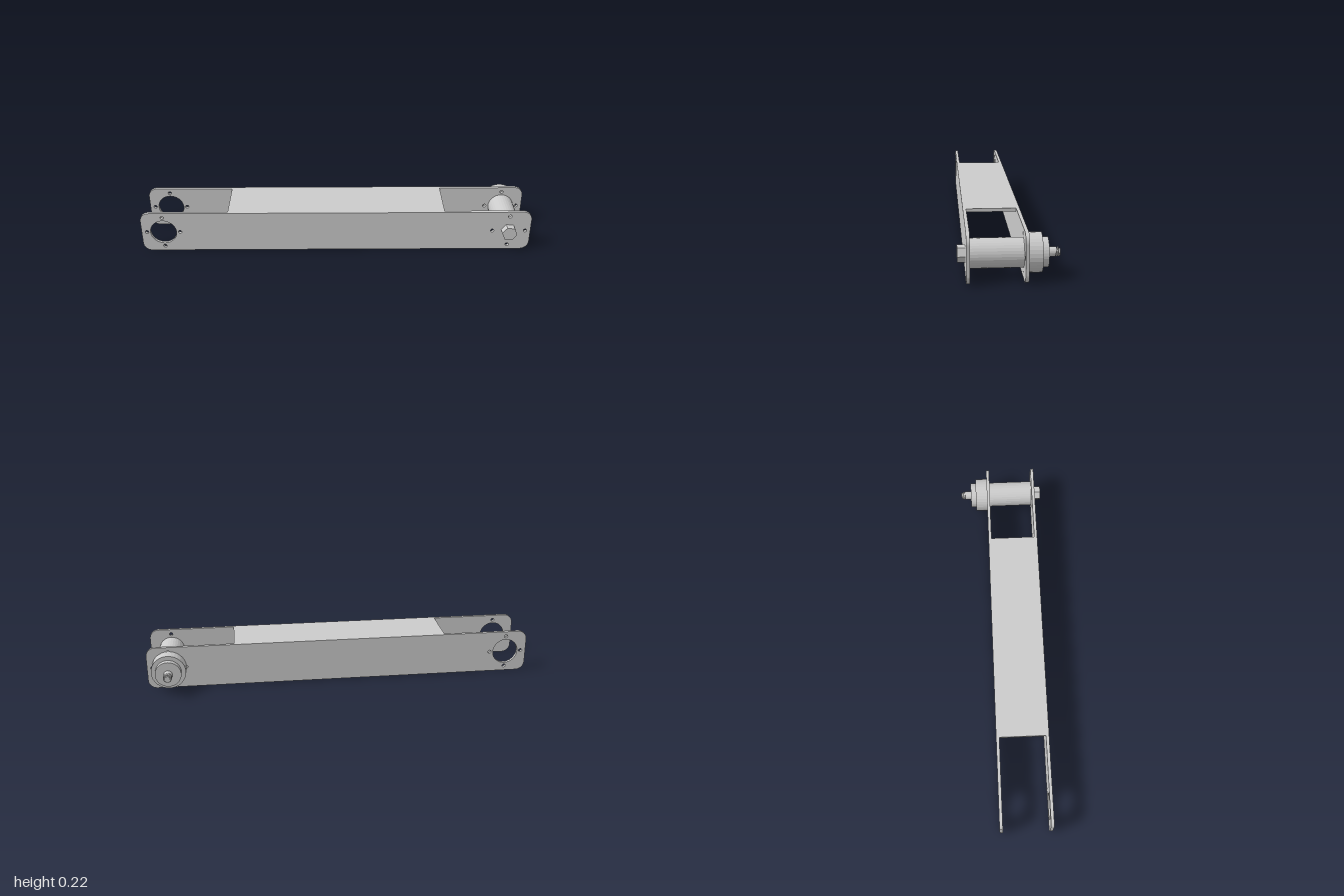
import * as THREE from 'three';

const MID_Y = 0.111, END_X = 0.888, THICK = 0.016;
const FRONT_Z = 0.171, BACK_Z = -0.078;

export function createModel() {
  const model = new THREE.Group();
  model.name = 'armLink';
  const material = new THREE.MeshStandardMaterial({ color: 0xcccccc, flatShading: true });

  const add = (name, geometry, x, y, z, parent = model) => {
    const mesh = new THREE.Mesh(geometry, material);
    mesh.name = name;
    mesh.position.set(x, y, z);
    parent.add(mesh);
    return mesh;
  };

  // Side plate outline: rounded rectangle with bolt circles at both ends
  const w = 1, h = 0.111, r = 0.045;
  const plate = new THREE.Shape();
  plate.absarc(w - r, -h + r, r, -Math.PI / 2, 0);
  plate.absarc(w - r, h - r, r, 0, Math.PI / 2);
  plate.absarc(-w + r, h - r, r, Math.PI / 2, Math.PI);
  plate.absarc(-w + r, -h + r, r, Math.PI, Math.PI * 1.5);
  plate.closePath();
  const hole = (x, y, radius) =>
    plate.holes.push(new THREE.Path().absarc(x, y, radius, 0, Math.PI * 2, true));
  for (const side of [-1, 1]) {
    for (let i = 0; i < 4; i++) {
      const a = i * Math.PI / 2;
      hole(side * END_X + 0.085 * Math.cos(a), 0.085 * Math.sin(a), 0.009);
    }
  }
  hole(-END_X, 0, 0.067);
  const plateGeometry = new THREE.ExtrudeGeometry(plate, {
    depth: THICK, bevelEnabled: false, curveSegments: 12,
  });
  add('frontPlate', plateGeometry, 0, MID_Y, FRONT_Z);
  add('backPlate', plateGeometry, 0, MID_Y, BACK_Z);

  // Web joining the two plates along the top
  const innerBack = BACK_Z + THICK;
  add('topWeb', new THREE.BoxGeometry(1.106, THICK, FRONT_Z - innerBack),
    0, 0.222 - THICK / 2, (FRONT_Z + innerBack) / 2);

  // Motor parts: cylinders running along z about the right-hand bolt circle
  const motor = new THREE.Group();
  motor.name = 'motor';
  motor.position.set(END_X, MID_Y + 0.001, 0);
  model.add(motor);
  const cylinder = (name, radius, z0, z1, sides = 32, turn = 0) => {
    const geometry = new THREE.CylinderGeometry(radius, radius, z1 - z0, sides);
    geometry.rotateX(Math.PI / 2).rotateZ(turn);
    return add(name, geometry, 0, 0, (z0 + z1) / 2, motor);
  };
  cylinder('barrel', 0.066, innerBack, FRONT_Z);
  cylinder('flange', 0.088, -0.14, BACK_Z);
  cylinder('step', 0.066, -0.168, -0.14);
  cylinder('shaft', 0.022, -0.2, -0.168, 24);
  cylinder('threadCore', 0.014, -0.222, -0.2, 24);
  cylinder('hexNut', 0.039, FRONT_Z + THICK, 0.223, 6, 0.4);

  // Screw thread on the shaft tip
  const points = [];
  for (let i = 0; i <= 32; i++) {
    const a = i / 32 * Math.PI * 4;
    points.push(new THREE.Vector3(
      0.0175 * Math.cos(a), 0.0175 * Math.sin(a), -0.2 - 0.018 * i / 32));
  }
  add('thread', new THREE.TubeGeometry(
    new THREE.CatmullRomCurve3(points), 64, 0.004, 6), 0, 0, 0, motor);

  return model;
}
